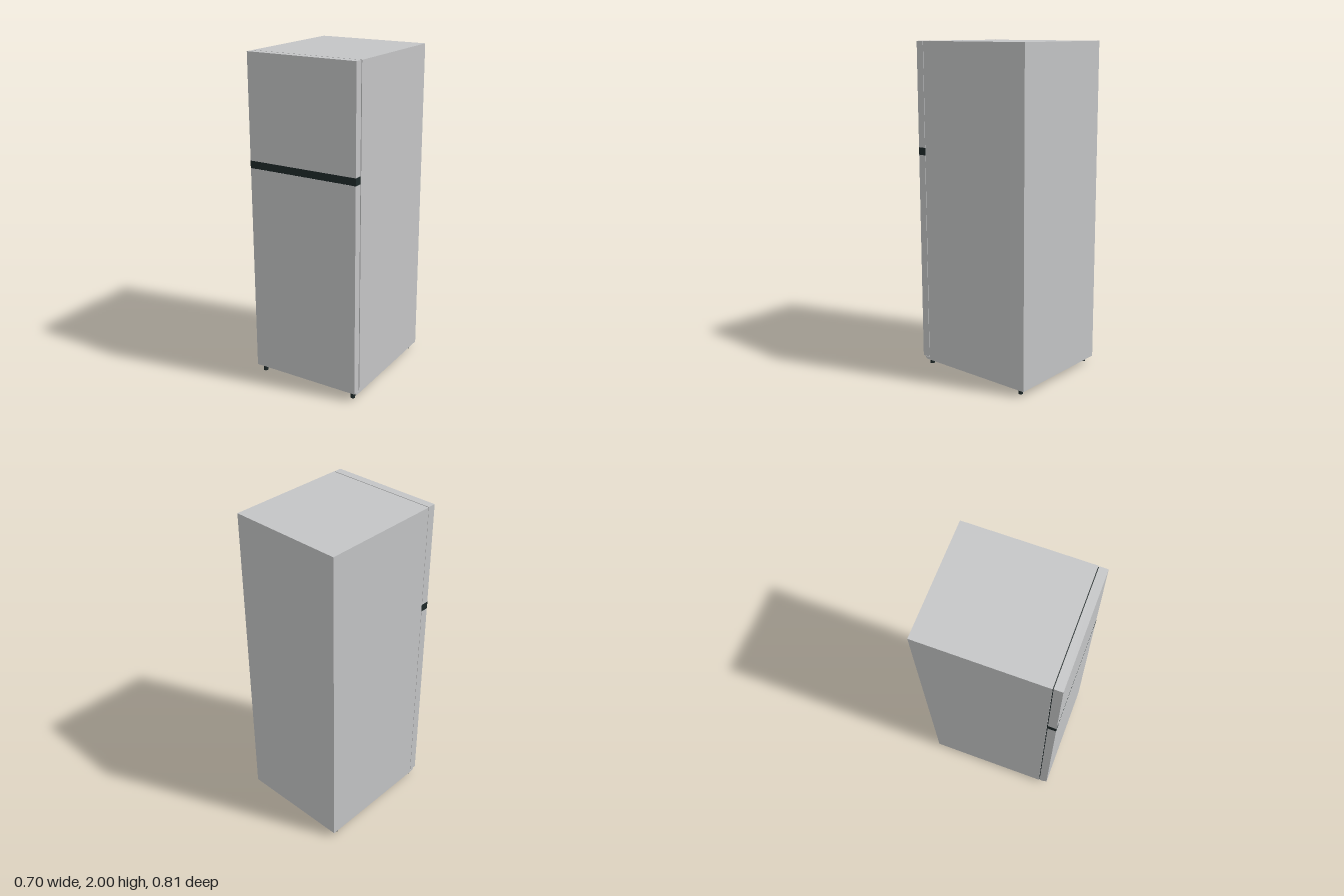
import * as THREE from 'three';

export function createModel() {
  const model = new THREE.Group();
  model.name = 'refrigerator';

  const silver = new THREE.MeshStandardMaterial({ color: 0xc4c5c6 });
  silver.name = 'silver panel';
  const dark = new THREE.MeshStandardMaterial({ color: 0x1f2a2a });
  dark.name = 'dark trim';

  const add = (name, geometry, material, x = 0, y = 0, z = 0) => {
    const mesh = new THREE.Mesh(geometry, material);
    mesh.name = name;
    mesh.position.set(x, y, z);
    model.add(mesh);
    return mesh;
  };

  // Box given by its width and its y and z limits, centred on x
  const slab = (name, width, y0, y1, z0, z1, material) =>
    add(name, new THREE.BoxGeometry(width, y1 - y0, z1 - z0), material, 0, (y0 + y1) / 2, (z0 + z1) / 2);

  // Cabinet and the two doors
  slab('cabinet', 0.704, 0.034, 2, -0.404, 0.348, silver);
  slab('freezerDoor', 0.7, 1.375, 2, 0.353, 0.403, silver);
  slab('fridgeDoor', 0.7, 0.05, 1.33, 0.353, 0.403, silver);

  // Door seal in the narrow gap
  slab('doorSeal', 0.694, 0.05, 1.996, 0.347, 0.354, dark);

  // Handle band between the doors, with end caps
  slab('handleBand', 0.62, 1.33, 1.375, 0.353, 0.402, dark);
  for (const side of [-1, 1]) {
    add('handleEndCap', new THREE.BoxGeometry(0.041, 0.045, 0.05), dark, side * 0.3305, 1.3525, 0.378);
  }

  // Sloped plinth lip below the doors: profile in (z, y), extruded across x
  const lip = new THREE.Shape();
  lip.moveTo(0.345, 0.034);
  lip.lineTo(0.376, 0.034);
  lip.lineTo(0.386, 0.048);
  lip.lineTo(0.345, 0.048);
  const lipGeometry = new THREE.ExtrudeGeometry(lip, { depth: 0.7, bevelEnabled: false });
  lipGeometry.rotateY(-Math.PI / 2).translate(0.35, 0, 0);
  add('plinthLip', lipGeometry, silver);

  // Round levelling feet
  const footGeometry = new THREE.CylinderGeometry(0.014, 0.014, 0.036, 16);
  for (const x of [-0.32, 0.316]) {
    for (const z of [-0.356, 0.36]) add('foot', footGeometry, dark, x, 0.018, z);
  }

  return model;
}
